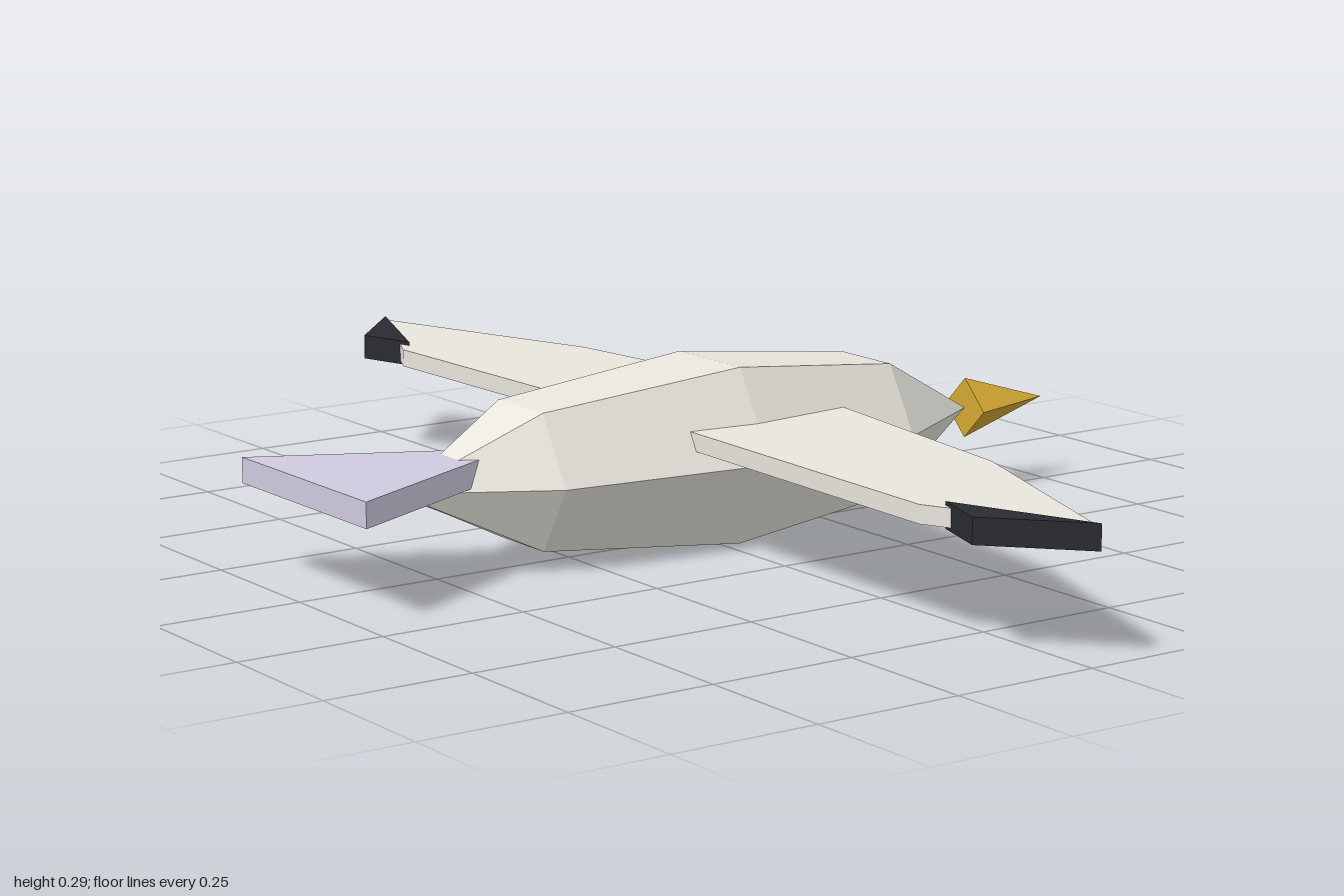
import * as THREE from 'three';

const paint = (color) => new THREE.MeshStandardMaterial({ color, flatShading: true });

export function createModel() {
  const group = new THREE.Group();
  const plumage = paint(0xe8e5dc);
  const dark = paint(0x2a2a32);
  const gold = paint(0xd4a832);
  const lavender = paint(0xd0cae0);

  const add = (name, geometry, material) => {
    const mesh = new THREE.Mesh(geometry, material);
    mesh.name = name;
    group.add(mesh);
    return mesh;
  };

  // Flat slab from an outline of [x, z] points, between two heights
  const slab = (outline, bottom, top) => {
    const shape = new THREE.Shape(outline.map(([x, z]) => new THREE.Vector2(x, z)));
    return new THREE.ExtrudeGeometry(shape, { depth: top - bottom, bevelEnabled: false })
      .rotateX(Math.PI / 2)
      .translate(0, top, 0);
  };

  // Six-sided spindle body with flat top and bottom
  const profile = [[0, -0.57], [0.13, -0.355], [0.17, -0.03], [0.13, 0.34], [0, 0.57]]
    .map(([r, z]) => new THREE.Vector2(r, z));
  add('body', new THREE.LatheGeometry(profile, 6)
    .rotateY(Math.PI / 2).rotateX(Math.PI / 2).translate(0, 0.15, 0), plumage);

  // Four-sided beak pointing backwards along z
  add('beak', new THREE.ConeGeometry(0.052, 0.17, 4)
    .rotateX(-Math.PI / 2).translate(0, 0.15, -0.655), gold);

  // Fan tail
  add('tail', slab([[-0.035, 0.43], [0.035, 0.43], [0.19, 0.74], [-0.19, 0.74]], 0.155, 0.197), lavender);

  // Mirrored wings with dark tips
  const wing = [[0.08, -0.227], [0.567, -0.163], [0.995, -0.013], [0.733, 0.112], [0.08, 0.093]];
  const tip = [[1, -0.013], [0.861, 0.115], [0.759, 0.083]];
  for (const [side, s] of [['left', 1], ['right', -1]]) {
    const mirror = (points) => points.map(([x, z]) => [s * x, z]);
    add(side + 'Wing', slab(mirror(wing), 0.182, 0.212), plumage);
    add(side + 'WingTip', slab(mirror(tip), 0.176, 0.218), dark);
  }

  return group;
}
